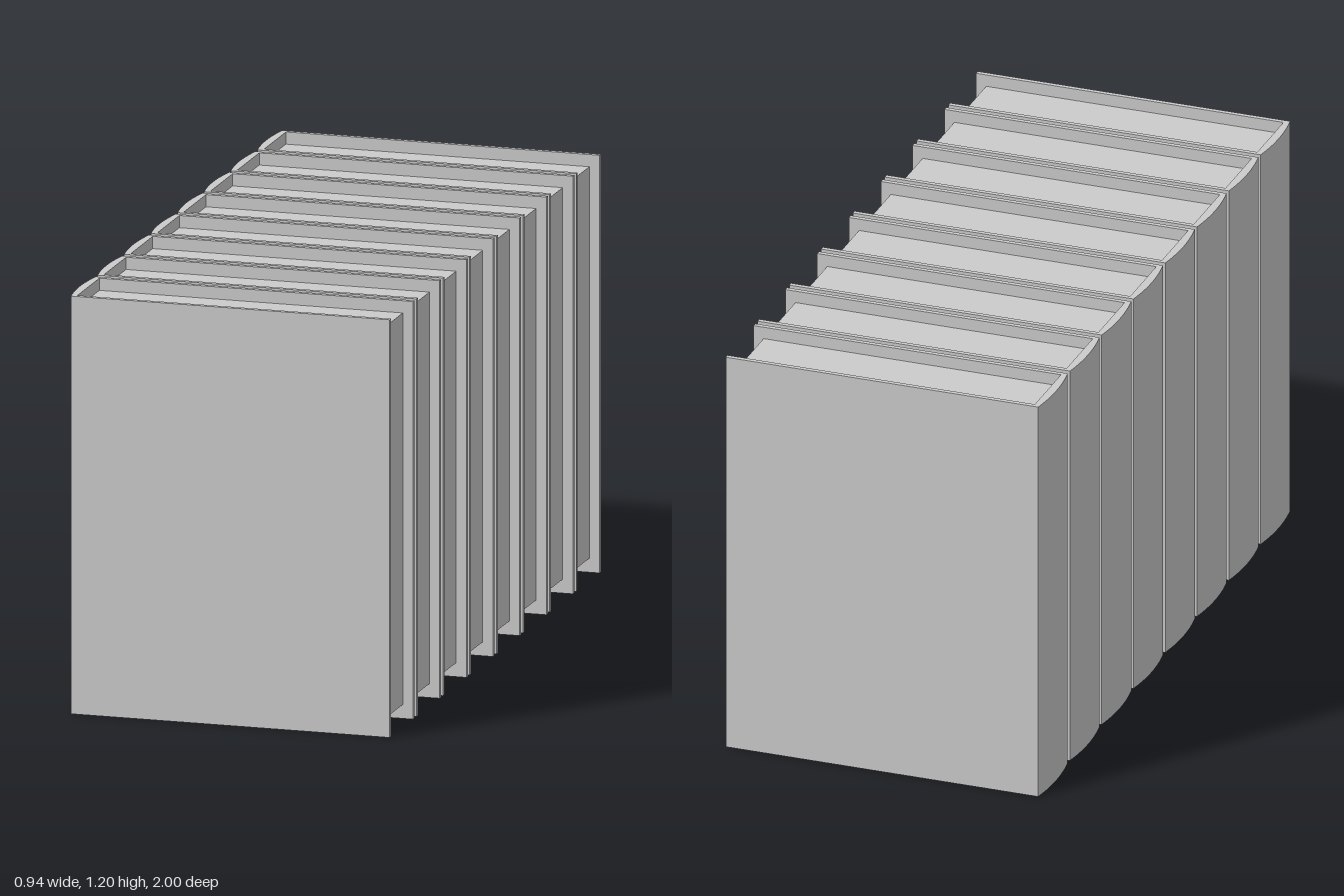
import * as THREE from 'three';

const COUNT = 8, HEIGHT = 1.2, HALF = 0.1175, BOARD = 0.014;
const PITCH = (2 - 2 * HALF) / (COUNT - 1);

// Outline of a hardback cover seen from above: two boards joined by a curved spine
function coverGeometry() {
  const s = new THREE.Shape();
  const inner = HALF - BOARD;
  s.moveTo(0.47, -HALF);
  s.lineTo(0.47, -inner);
  s.lineTo(-0.445, -inner);
  s.lineTo(-0.445, inner);
  s.lineTo(0.47, inner);
  s.lineTo(0.47, HALF);
  s.lineTo(-0.46, HALF);
  s.quadraticCurveTo(-0.48, 0, -0.46, -HALF);
  s.closePath();
  const g = new THREE.ExtrudeGeometry(s, { depth: HEIGHT, bevelEnabled: false, curveSegments: 10 });
  return g.rotateX(-Math.PI / 2);
}

export function createModel() {
  const model = new THREE.Group();
  model.name = 'bookRow';
  const material = new THREE.MeshStandardMaterial({ color: 0xcccccc });
  const coverGeo = coverGeometry();

  // Page block, set back from the cover at the top, bottom and front edge
  const pagesGeo = new THREE.BoxGeometry(0.885, 1.125, 2 * (HALF - BOARD));
  pagesGeo.translate(-0.0025, 0.6025, 0);

  for (let i = 0; i < COUNT; i++) {
    const book = new THREE.Group();
    book.name = `book${i + 1}`;
    const cover = new THREE.Mesh(coverGeo, material);
    cover.name = 'cover';
    const pages = new THREE.Mesh(pagesGeo, material);
    pages.name = 'pages';
    book.add(cover, pages);
    book.position.z = (i - (COUNT - 1) / 2) * PITCH;
    model.add(book);
  }
  return model;
}
